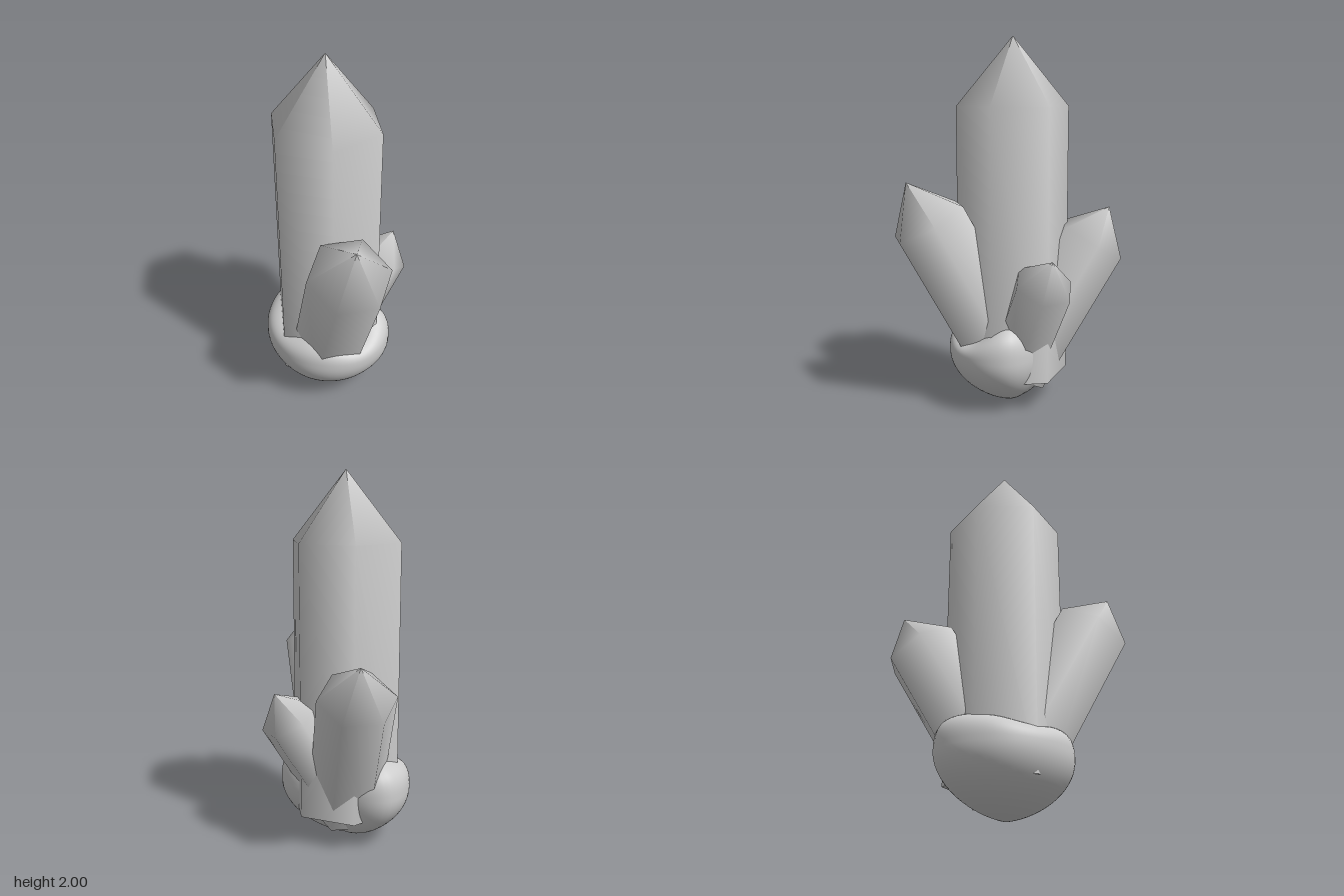
import * as THREE from 'three';
import { mergeVertices } from 'three/addons/utils/BufferGeometryUtils.js';

const stone = new THREE.MeshStandardMaterial({ color: 0xcccccc });
stone.name = 'grey stone';

// Shared point from which every crystal grows
const root = new THREE.Vector3(-0.04, 0.165, 0.04);

// Six-sided crystal from the root to a tip; corner points towards one of its long edges
function crystal(name, tip, radius, corner) {
  const axis = new THREE.Vector3(...tip).sub(root);
  const length = axis.length();
  axis.normalize();
  const edge = new THREE.Vector3(...corner).projectOnPlane(axis).normalize();
  const side = new THREE.Vector3().crossVectors(axis, edge);

  const group = new THREE.Group();
  group.name = name;
  const profile = [[radius, 0], [radius, length * 0.8], [0, length]];
  const body = new THREE.Mesh(
    new THREE.LatheGeometry(profile.map(p => new THREE.Vector2(...p)), 6), stone);
  body.name = name + 'Body';
  const end = new THREE.Mesh(
    new THREE.CircleGeometry(radius, 6, Math.PI / 2).rotateX(Math.PI / 2), stone);
  end.name = name + 'End';
  group.add(body, end);
  group.quaternion.setFromRotationMatrix(new THREE.Matrix4().makeBasis(side, axis, edge));
  group.position.copy(root);
  return group;
}

// Lumpy rock: a sphere whose reach and upper height vary around the vertical axis
function rock() {
  // [reach, height] every 45 degrees, starting at +x and turning towards +z
  const lobes = [[0.36, 0.09], [0.35, 0.16], [0.34, 0.13], [0.36, 0.17],
    [0.385, 0.2], [0.23, 0.09], [0.24, 0.12], [0.36, 0.2]];
  const outline = new THREE.CatmullRomCurve3(
    lobes.map(([a, h]) => new THREE.Vector3(a, h, 0)), true);
  const middle = 0.3;

  let geometry = new THREE.SphereGeometry(1, 64, 40);
  geometry.deleteAttribute('uv');
  geometry.deleteAttribute('normal');
  geometry = mergeVertices(geometry);
  const pos = geometry.attributes.position;
  for (let i = 0; i < pos.count; i++) {
    const x = pos.getX(i), y = pos.getY(i), z = pos.getZ(i);
    const angle = Math.atan2(z, x);
    const lobe = outline.getPoint((angle / (2 * Math.PI) + 1) % 1);
    const flat = Math.min(1, Math.hypot(x, z));
    // Blunt shoulders above the middle, a tapering underside below it
    const reach = lobe.x * Math.pow(flat, y > 0 ? 0.5 : 1.3);
    const height = y > 0 ? lobe.y * Math.pow(y, 0.7) : middle * y;
    pos.setXYZ(i, root.x + reach * Math.cos(angle), middle + height,
      root.z + reach * Math.sin(angle));
  }
  geometry.computeVertexNormals();
  const mesh = new THREE.Mesh(geometry, stone);
  mesh.name = 'baseRock';
  return mesh;
}

export function createModel() {
  const model = new THREE.Group();
  model.name = 'crystalCluster';
  model.add(
    rock(),
    crystal('mainCrystal', [-0.04, 2, 0.04], 0.305, [0, 0, 1]),
    crystal('leftCrystal', [0.5, 1.24, 0.26], 0.22, [0.2, -0.09, -0.035]),
    crystal('rightCrystal', [-0.5, 1.08, -0.24], 0.205, [0.1, 0, -0.178]),
    crystal('backCrystal', [0.03, 0.86, -0.38], 0.163, [0.16, 0, 0.025]),
  );
  return model;
}
